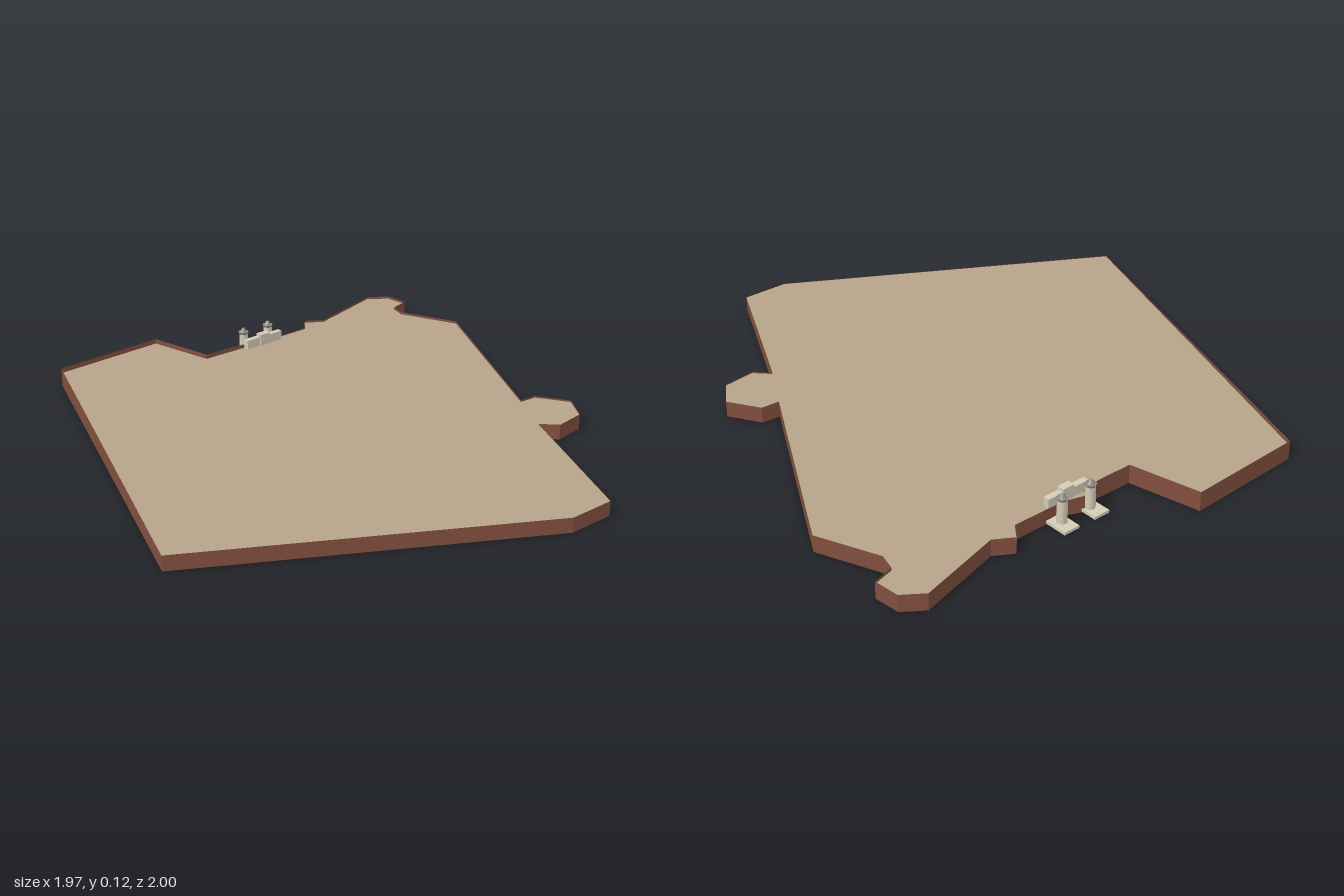
import * as THREE from 'three';

const ground = new THREE.MeshStandardMaterial({ color: 0xb7a389, side: THREE.DoubleSide });
ground.name = 'tan ground';
const cliff = new THREE.MeshStandardMaterial({ color: 0x824f3f, side: THREE.DoubleSide });
cliff.name = 'red brown wall';
const stone = new THREE.MeshStandardMaterial({ color: 0xd4ccb6 });
stone.name = 'pale stone';
const metal = new THREE.MeshStandardMaterial({ color: 0x8f8c84, flatShading: true });
metal.name = 'grey finial';

const GROUND_Y = 0.051;

// corners of the plan as x, z and the height of the wall there
const outline = [
  [-0.465, -0.985, 0.069], [-0.035, -1, 0.069], [0.02, -0.75, 0.068], [0.14, -0.747, 0.067],
  [0.21, -0.747, 0.064], [0.235, -0.775, 0.06], [0.3, -0.747, 0.053], [0.495, -0.747, 0.056],
  [0.535, -0.8, 0.059], [0.6, -0.76, 0.059], [0.9, -0.84, 0.06], [0.97, -0.79, 0.06],
  [0.98, -0.7, 0.06], [0.905, -0.68, 0.06], [0.89, -0.62, 0.06], [0.983, -0.405, 0.06],
  [0.62, 0.29, 0.058], [0.685, 0.295, 0.057], [0.753, 0.405, 0.057], [0.69, 0.503, 0.056],
  [0.575, 0.517, 0.055], [0.525, 0.465, 0.055], [0.275, 1, 0.052], [0.105, 1, 0.052],
  [-0.985, 0.38, 0.053],
];

function add(parent, name, geometry, material, x, y, z) {
  const mesh = new THREE.Mesh(geometry, material);
  mesh.name = name;
  mesh.position.set(x, y, z);
  parent.add(mesh);
}

// box and round part, both placed by the height of their underside
function box(parent, name, w, h, d, x, bottom, z) {
  add(parent, name, new THREE.BoxGeometry(w, h, d), stone, x, bottom + h / 2, z);
}

function round(parent, name, topR, bottomR, h, material, x, bottom, z) {
  add(parent, name, new THREE.CylinderGeometry(topR, bottomR, h, 8), material, x, bottom + h / 2, z);
}

// level ground sheet, open underneath
function buildGround(parent) {
  const shape = new THREE.Shape(outline.map(([x, z]) => new THREE.Vector2(x, -z)));
  const geometry = new THREE.ShapeGeometry(shape).rotateX(-Math.PI / 2);
  add(parent, 'groundSheet', geometry, ground, 0, GROUND_Y, 0);
}

// thin wall around the ground, rising above it as a low rim
function buildWall(parent) {
  const positions = [];
  outline.forEach(([ax, az, ah], i) => {
    const [bx, bz, bh] = outline[(i + 1) % outline.length];
    positions.push(bx, 0, bz, ax, 0, az, ax, ah, az);
    positions.push(bx, 0, bz, ax, ah, az, bx, bh, bz);
  });
  const geometry = new THREE.BufferGeometry();
  geometry.setAttribute('position', new THREE.Float32BufferAttribute(positions, 3));
  geometry.computeVertexNormals();
  add(parent, 'boundaryWall', geometry, cliff, 0, 0, 0);
}

function buildGate(parent) {
  const gate = new THREE.Group();
  gate.name = 'gate';
  // low front wall with a raised centre
  box(gate, 'frontWall', 0.165, 0.037, 0.022, 0.277, 0.048, -0.735);
  box(gate, 'wallCentre', 0.046, 0.047, 0.026, 0.277, 0.048, -0.733);
  // a tall pillar with a pointed finial on each side, standing outside the wall
  for (const side of [-1, 1]) {
    const x = 0.277 + side * 0.0585;
    const pillar = new THREE.Group();
    pillar.name = side < 0 ? 'rightPillar' : 'leftPillar';
    box(pillar, 'footPlate', 0.06, 0.01, 0.09, x + side * 0.004, 0.004, -0.785);
    round(pillar, 'post', 0.016, 0.018, 0.078, stone, x, 0.014, -0.78);
    round(pillar, 'finialBowl', 0.02, 0.016, 0.009, metal, x, 0.092, -0.78);
    round(pillar, 'finialTip', 0.004, 0.014, 0.015, metal, x, 0.101, -0.78);
    gate.add(pillar);
  }
  parent.add(gate);
}

export function createModel() {
  const model = new THREE.Group();
  model.name = 'gatedGround';
  buildGround(model);
  buildWall(model);
  buildGate(model);
  return model;
}
